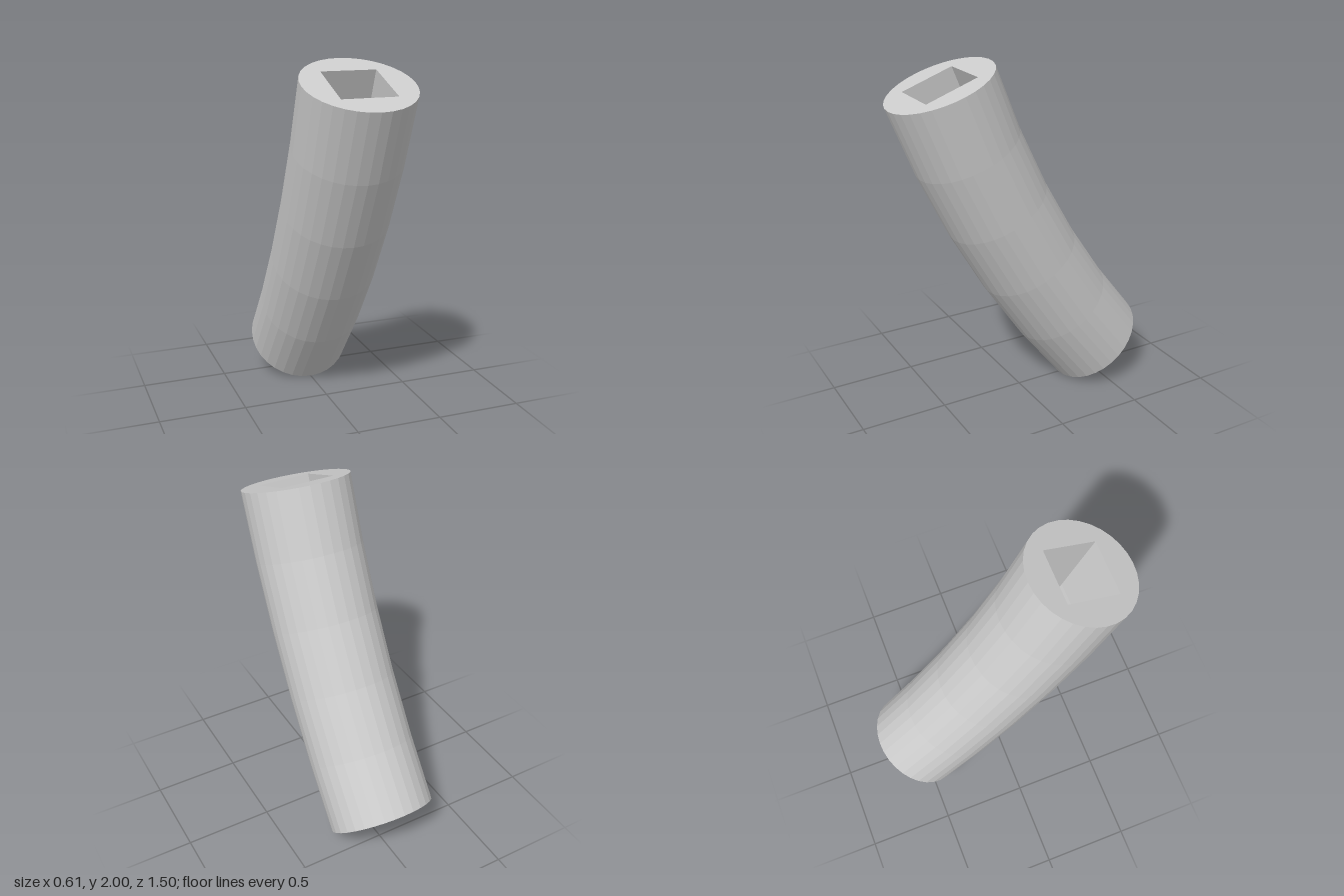
import * as THREE from 'three';

const SIDES = 32, STEPS = 5;
const TUBE_RADIUS = 0.304, HOLE_HALF = 0.153;
const BEND_RADIUS = 5.644, CENTRE_Y = 3.825, CENTRE_Z = -4.838;
const BOTTOM_ANGLE = THREE.MathUtils.degToRad(40);
const TOP_ANGLE = THREE.MathUtils.degToRad(20);

// Regular polygon outline as 2D points
function ring(radius, sides, start = 0) {
  return Array.from({ length: sides }, (_, i) => {
    const a = start + (i / sides) * Math.PI * 2;
    return new THREE.Vector2(Math.cos(a) * radius, Math.sin(a) * radius);
  });
}

// Bend a unit-length extrusion along an arc in the YZ plane
function bend(geometry) {
  const p = geometry.attributes.position;
  for (let i = 0; i < p.count; i++) {
    const a = THREE.MathUtils.lerp(BOTTOM_ANGLE, TOP_ANGLE, p.getZ(i));
    const r = BEND_RADIUS - p.getY(i);
    p.setXYZ(i, p.getX(i), CENTRE_Y - r * Math.sin(a), CENTRE_Z + r * Math.cos(a));
  }
  geometry.computeVertexNormals();
  return geometry;
}

export function createModel() {
  const group = new THREE.Group();
  group.name = 'bentTube';

  // Round section with a square bore running its whole length
  const section = new THREE.Shape(ring(TUBE_RADIUS, SIDES));
  section.holes.push(new THREE.Path(ring(HOLE_HALF * Math.SQRT2, 4, Math.PI / 4)));

  const geometry = bend(new THREE.ExtrudeGeometry(section, {
    depth: 1, steps: STEPS, bevelEnabled: false,
  }));
  const material = new THREE.MeshStandardMaterial({ color: 0xcccccc, flatShading: true });
  const tube = new THREE.Mesh(geometry, material);
  tube.name = 'curvedTubeWithSquareBore';
  group.add(tube);
  return group;
}
